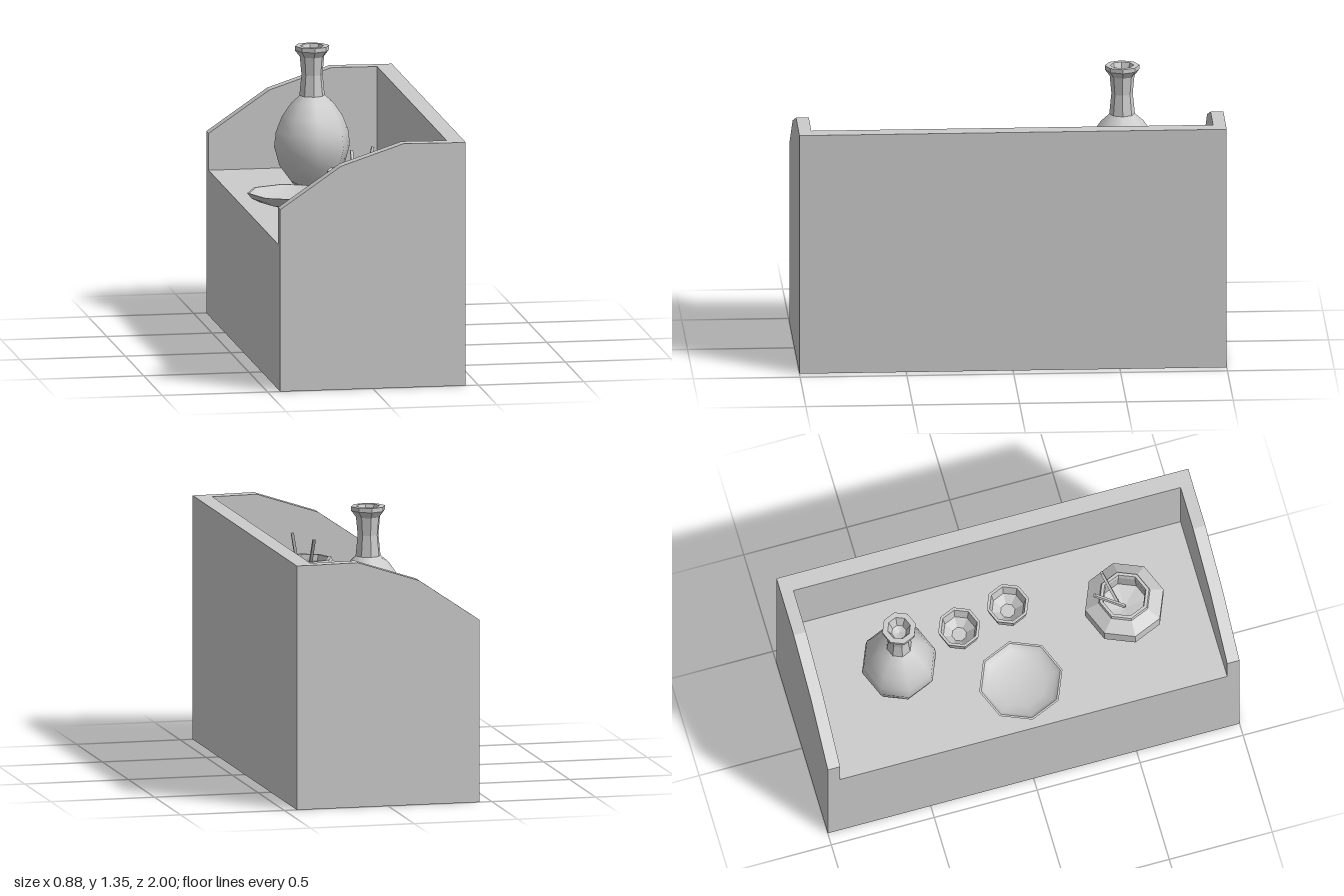
import * as THREE from 'three';

const smoothMat = new THREE.MeshStandardMaterial({ color: 0xcccccc, side: THREE.DoubleSide });
const flatMat = new THREE.MeshStandardMaterial({ color: 0xcccccc, side: THREE.DoubleSide, flatShading: true });
const COUNTER = 0.69;

function add(parent, name, geometry, material = flatMat) {
  const mesh = new THREE.Mesh(geometry, material);
  mesh.name = name;
  parent.add(mesh);
  return mesh;
}

// One mesh from flat convex polygons, each given as a list of corners
function faces(polygons) {
  const pos = [];
  for (const p of polygons)
    for (let i = 1; i < p.length - 1; i++) pos.push(...p[0], ...p[i], ...p[i + 1]);
  const g = new THREE.BufferGeometry();
  g.setAttribute('position', new THREE.Float32BufferAttribute(pos, 3));
  g.computeVertexNormals();
  return g;
}

// Eight-sided turned vessel part
const turned = (profile) => new THREE.LatheGeometry(profile.map(([r, y]) => new THREE.Vector2(r, y)), 8);

function vessel(parent, name, x, z) {
  const g = new THREE.Group();
  g.name = name;
  g.position.set(x, COUNTER, z);
  parent.add(g);
  return g;
}

function stick(parent, from, to) {
  const a = new THREE.Vector3(...from), b = new THREE.Vector3(...to);
  const m = add(parent, 'stick', new THREE.BoxGeometry(0.013, a.distanceTo(b), 0.013));
  m.position.copy(a).add(b).multiplyScalar(0.5);
  m.quaternion.setFromUnitVectors(new THREE.Vector3(0, 1, 0), b.sub(a).normalize());
}

export function createModel() {
  const model = new THREE.Group();
  model.name = 'servingCounter';

  // Hollow cabinet, open underneath: outer walls
  const X = 0.44, XI = 0.36, Z = 1, ZI = 0.94, TOP = 1.157;
  const crest = [[-X, 0.865], [-0.15, 1.063], [0.145, 1.16], [XI, TOP]];
  add(model, 'backPanel', faces([[[X, 0, Z], [X, 0, -Z], [X, TOP, -Z], [X, TOP, Z]]]));
  add(model, 'frontPanel', faces([[[-X, 0, -Z], [-X, 0, Z], [-X, COUNTER, Z], [-X, COUNTER, -Z]]]));
  add(model, 'counterTop', faces([[[-X, COUNTER, ZI], [XI, COUNTER, ZI], [XI, COUNTER, -ZI], [-X, COUNTER, -ZI]]]));

  // Inner face and rim of the tall back wall
  add(model, 'backInnerWall', faces([
    [[XI, COUNTER, -ZI], [XI, COUNTER, ZI], [XI, TOP, ZI], [XI, TOP, -ZI]],
    [[XI, TOP, Z], [X, TOP, Z], [X, TOP, -Z], [XI, TOP, -Z]],
  ]));

  // Curved side walls: outer face, inner face, rim and front post
  for (const s of [1, -1]) {
    const order = (p) => (s > 0 ? p : p.slice().reverse());
    const polys = [
      order([[-X, 0, s * Z], [X, 0, s * Z], [X, TOP, s * Z], ...crest.slice().reverse().map(([x, y]) => [x, y, s * Z])]),
      order([[XI, COUNTER, s * ZI], [-X, COUNTER, s * ZI], ...crest.map(([x, y]) => [x, y, s * ZI])]),
      order([[-X, COUNTER, s * ZI], [-X, COUNTER, s * Z], [-X, crest[0][1], s * Z], [-X, crest[0][1], s * ZI]]),
    ];
    for (let i = 0; i < crest.length - 1; i++) {
      const [x0, y0] = crest[i], [x1, y1] = crest[i + 1];
      polys.push(order([[x0, y0, s * Z], [x1, y1, s * Z], [x1, y1, s * ZI], [x0, y0, s * ZI]]));
    }
    add(model, s > 0 ? 'leftSideWall' : 'rightSideWall', faces(polys));
  }

  // Bottle with a smooth belly and a faceted neck
  const bottle = vessel(model, 'bottle', -0.02, -0.535);
  add(bottle, 'belly', turned([[0, 0], [0.09, 0], [0.1, 0.015], [0.155, 0.09], [0.18, 0.18], [0.172, 0.25],
    [0.145, 0.32], [0.1, 0.385], [0.06, 0.42]]), smoothMat);
  add(bottle, 'neck', turned([[0.06, 0.42], [0.05, 0.52], [0.058, 0.605], [0.081, 0.635], [0.081, 0.655],
    [0.055, 0.655], [0.035, 0.6], [0, 0.59]]));

  // Shallow dish
  const dish = vessel(model, 'dish', -0.22, 0);
  add(dish, 'dishBowl', turned([[0, 0], [0.07, 0], [0.14, 0.02], [0.18, 0.04], [0.202, 0.066]]), smoothMat);
  add(dish, 'dishRim', turned([[0.202, 0.066], [0.192, 0.066]]));
  add(dish, 'dishInside', turned([[0.192, 0.066], [0.17, 0.043], [0.12, 0.026], [0.05, 0.016], [0, 0.015]]), smoothMat);

  // Two small cups
  for (const [x, z] of [[0.095, -0.21], [0.145, 0.04]]) {
    const cup = vessel(model, 'cup', x, z);
    add(cup, 'cupBody', turned([[0, 0], [0.05, 0], [0.055, 0.015], [0.09, 0.055], [0.102, 0.12],
      [0.088, 0.12], [0.077, 0.06], [0.035, 0.025], [0, 0.025]]));
  }

  // Round pot holding two sticks
  const pot = vessel(model, 'pot', 0, 0.565);
  add(pot, 'potBody', turned([[0, 0], [0.1, 0], [0.125, 0.02], [0.19, 0.085], [0.19, 0.165], [0.125, 0.21],
    [0.12, 0.225], [0.105, 0.225], [0.1, 0.2], [0.115, 0.08], [0, 0.06]]));
  stick(pot, [0, 0.08, 0], [0, 0.335, -0.145]);
  stick(pot, [0.03, 0.08, -0.025], [0.09, 0.36, -0.085]);

  return model;
}
